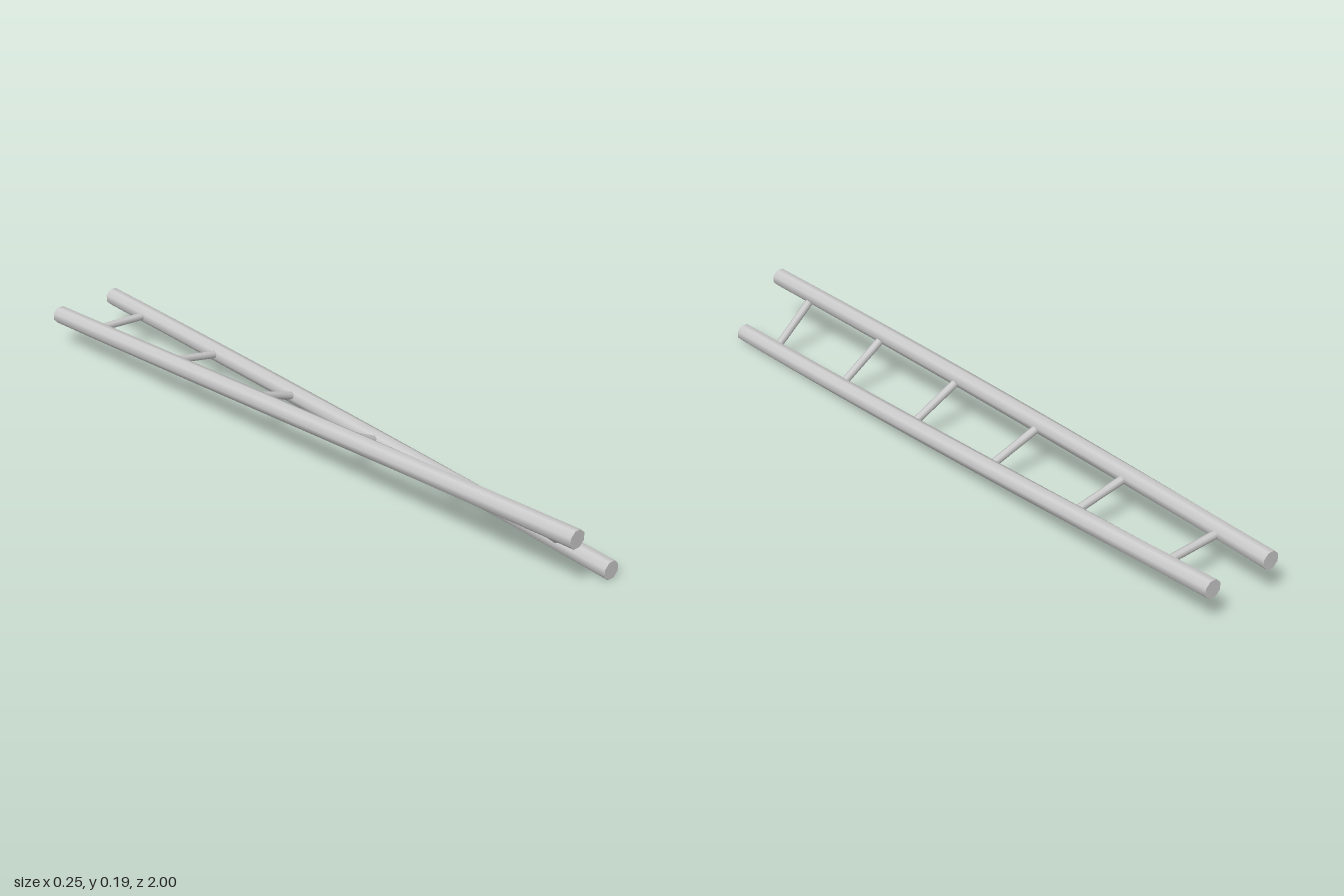
import * as THREE from 'three';

const TWIST = 0.8;      // total turn from the back end to the front end
const HALF_GAP = 0.1;   // rail centre to ladder centre line
const RAIL_R = 0.0267;
const RUNG_R = 0.0115;
const RUNGS = 6;

// Turn every vertex about the z axis in proportion to its distance from the back end
function twist(geometry) {
  const pos = geometry.attributes.position;
  const nor = geometry.attributes.normal;
  const axis = new THREE.Vector3(0, 0, 1);
  const p = new THREE.Vector3();
  const n = new THREE.Vector3();
  for (let i = 0; i < pos.count; i++) {
    p.fromBufferAttribute(pos, i);
    n.fromBufferAttribute(nor, i);
    const angle = -TWIST * (p.z + 1) / 2;
    p.applyAxisAngle(axis, angle);
    n.applyAxisAngle(axis, angle);
    pos.setXYZ(i, p.x, p.y, p.z);
    nor.setXYZ(i, n.x, n.y, n.z);
  }
  return geometry;
}

export function createModel() {
  const group = new THREE.Group();
  group.name = 'twistedLadder';
  const material = new THREE.MeshStandardMaterial({ color: 0xcccccc });

  const add = (name, geometry) => {
    const mesh = new THREE.Mesh(twist(geometry), material);
    mesh.name = name;
    group.add(mesh);
  };

  // Two long eight-sided rails, resting on the twist axis plane
  for (const side of [-1, 1]) {
    const rail = new THREE.CylinderGeometry(RAIL_R, RAIL_R, 2, 8, 16)
      .rotateY(Math.PI / 8)
      .rotateX(Math.PI / 2)
      .translate(side * HALF_GAP, RAIL_R, 0);
    add(side < 0 ? 'rightRail' : 'leftRail', rail);
  }

  // Evenly spaced rungs between the rails
  for (let i = 0; i < RUNGS; i++) {
    const z = -1 + (2 * (i + 0.5)) / RUNGS;
    const rung = new THREE.CylinderGeometry(RUNG_R, RUNG_R, HALF_GAP * 2, 8)
      .rotateZ(Math.PI / 2)
      .translate(0, RAIL_R, z);
    add('rung' + (i + 1), rung);
  }

  // Stand on y = 0, centred on x and z
  const box = new THREE.Box3().setFromObject(group, true);
  const centre = box.getCenter(new THREE.Vector3());
  for (const mesh of group.children) mesh.position.set(-centre.x, -box.min.y, -centre.z);
  return group;
}
